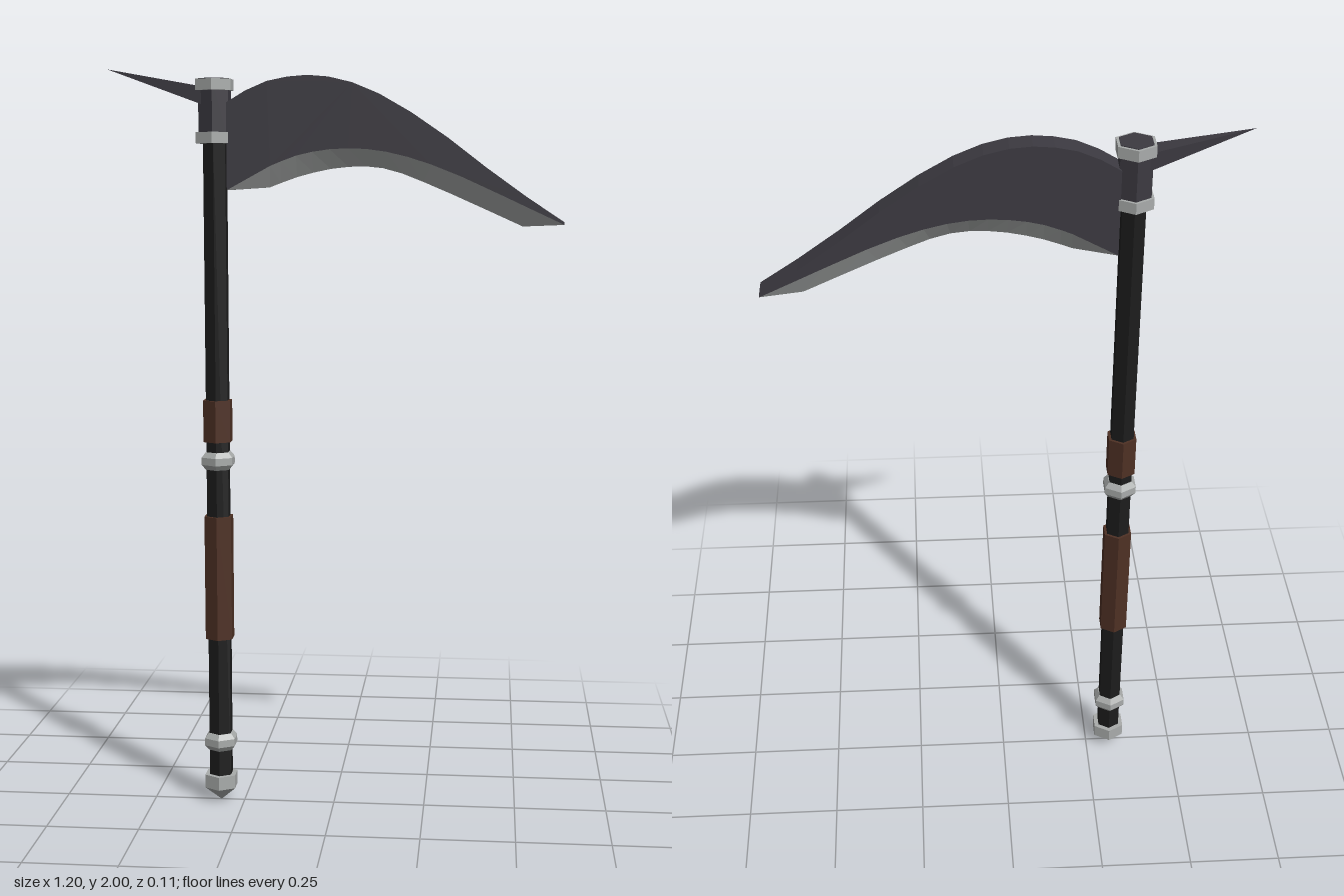
import * as THREE from 'three';

const mat = (name, color) => Object.assign(new THREE.MeshStandardMaterial({ color }), { name });

export function createModel() {
  const group = new THREE.Group();
  group.name = 'scythe';
  const black = mat('black wood', 0x1c1c1c);
  const brown = mat('brown leather', 0x4e3024);
  const dark = mat('dark steel', 0x3c3a41);
  const silver = mat('silver metal', 0xa9acab);
  const X = -0.315; // pole axis

  const add = (name, geometry, material, x = 0) => {
    const g = geometry.index ? geometry.toNonIndexed() : geometry;
    g.computeVertexNormals(); // faceted
    const mesh = new THREE.Mesh(g, material);
    mesh.name = name;
    mesh.position.x = x;
    group.add(mesh);
  };
  // six-sided turned part, profile as [radius, y] from bottom to top
  const turned = (name, material, profile) => add(name,
    new THREE.LatheGeometry(profile.map(p => new THREE.Vector2(...p)), 6), material, X);
  const prism = (name, material, r, y0, y1) =>
    turned(name, material, [[0, y0], [r, y0], [r, y1], [0, y1]]);
  // triangles from a list of corner points
  const faces = (name, corners, material) =>
    add(name, new THREE.BufferGeometry().setFromPoints(corners), material);

  // Pole, grips and fittings
  prism('shaft', black, 0.034, 0.05, 1.85);
  prism('lowerGrip', brown, 0.042, 0.465, 0.807);
  prism('upperGrip', brown, 0.042, 1.012, 1.125);
  for (const [name, y] of [['lowerRing', 0.172], ['upperRing', 0.96]]) {
    turned(name, silver, [[0, y - 0.024], [0.036, y - 0.024], [0.048, y - 0.01],
      [0.048, y + 0.01], [0.036, y + 0.024], [0, y + 0.024]]);
  }
  turned('pommel', silver, [[0, 0], [0.048, 0.04], [0.048, 0.077], [0, 0.077]]);

  // Head socket
  prism('socket', dark, 0.046, 1.81, 1.975);
  prism('lowerCollar', silver, 0.054, 1.807, 1.836);
  prism('upperCollar', silver, 0.054, 1.944, 1.973);

  // Back spike: rectangular pyramid
  const tip = new THREE.Vector3(-0.6, 2, 0);
  const base = [[1.9, 0.03], [1.95, 0.03], [1.95, -0.03], [1.9, -0.03]]
    .map(([y, z]) => new THREE.Vector3(-0.325, y, z));
  faces('spike', base.flatMap((p, i) => [tip, p, base[(i + 1) % 4]]), dark);

  // Blade body
  const T = 0.031; // half thickness
  const N = 12;
  const curve = pts => new THREE.SplineCurve(pts.map(p => new THREE.Vector2(...p))).getPoints(N);
  const spine = curve([[-0.28, 1.912], [-0.2, 1.957], [-0.12, 1.977], [-0.04, 1.98], [0.05, 1.962],
    [0.16, 1.912], [0.3, 1.82], [0.45, 1.706], [0.604, 1.603]]);
  const lower = curve([[-0.165, 1.748], [-0.08, 1.779], [0.03, 1.793], [0.15, 1.782],
    [0.3, 1.735], [0.52, 1.635]]);
  const edge = curve([[-0.17, 1.692], [-0.08, 1.724], [0.03, 1.745], [0.14, 1.74],
    [0.275, 1.69], [0.497, 1.591]]);
  const heel = new THREE.Vector2(-0.28, 1.685);
  const toe = new THREE.Vector2(0.604, 1.596);
  const outline = new THREE.Shape([heel, ...lower, toe, ...spine.slice().reverse()]);
  const body = new THREE.ExtrudeGeometry(outline, { depth: 2 * T, bevelEnabled: false });
  body.translate(0, 0, -T);
  add('blade', body, dark);

  // Sharpened edge, tapering to the heel and toe corners
  const at = (p, z) => new THREE.Vector3(p.x, p.y, z);
  const corners = [];
  for (const s of [1, -1]) {
    const tri = (a, b, c) => corners.push(...(s > 0 ? [a, b, c] : [a, c, b]));
    for (let i = 0; i < N; i++) {
      const a = at(lower[i], s * T), b = at(edge[i], 0);
      const c = at(edge[i + 1], 0), d = at(lower[i + 1], s * T);
      tri(a, b, c);
      tri(a, c, d);
    }
    tri(at(heel, s * T), at(edge[0], 0), at(lower[0], s * T));
    tri(at(toe, s * T), at(lower[N], s * T), at(edge[N], 0));
  }
  corners.push(at(heel, T), at(heel, -T), at(edge[0], 0));
  corners.push(at(toe, -T), at(toe, T), at(edge[N], 0));
  faces('cuttingEdge', corners, silver);

  return group;
}
